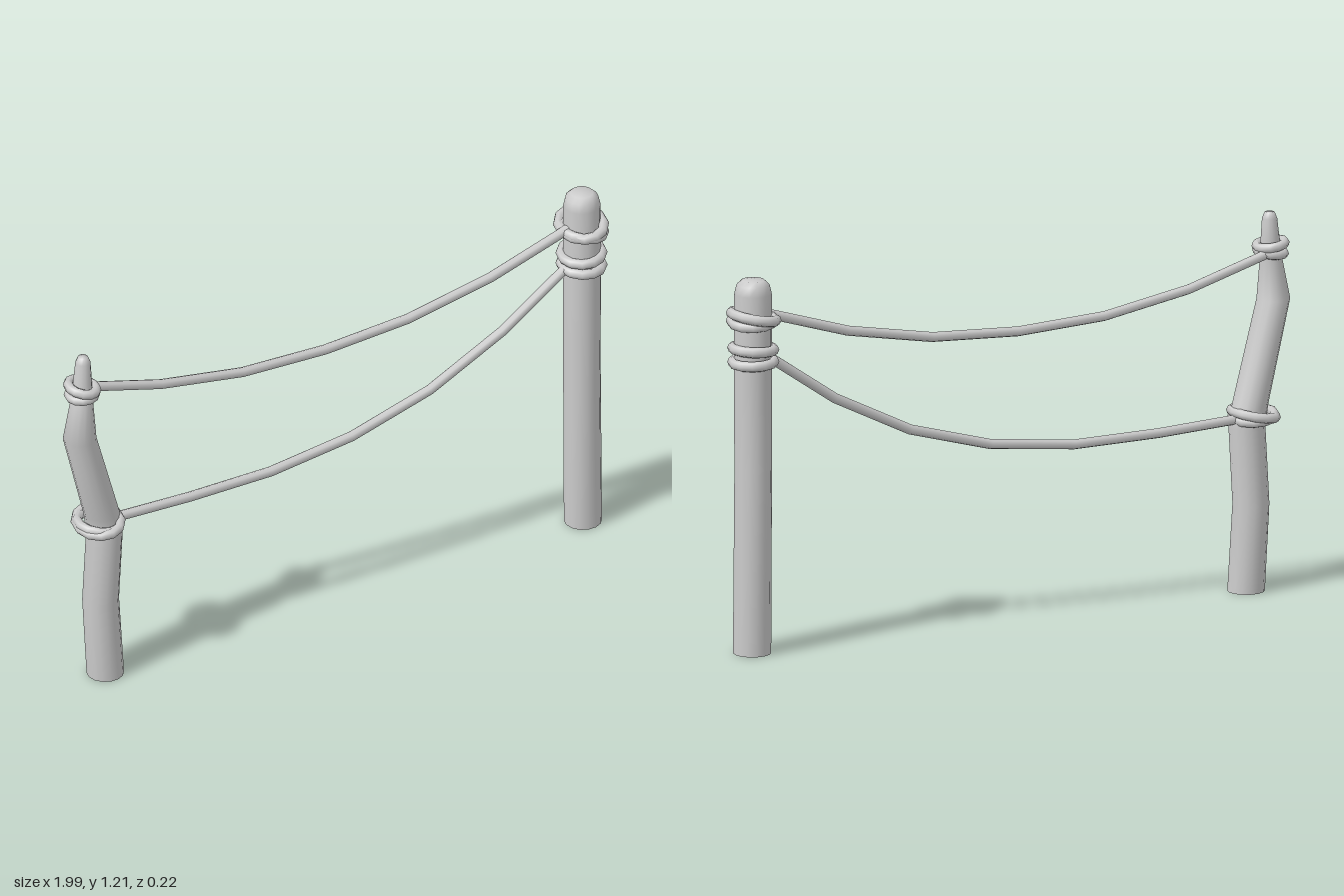
import * as THREE from 'three';

const material = new THREE.MeshStandardMaterial({ color: 0xcccccc });

function addMesh(group, name, geometry) {
  const mesh = new THREE.Mesh(geometry, material);
  mesh.name = name;
  group.add(mesh);
  return mesh;
}

// Crooked post lofted through level rings [x, y, z, radius], closed on top and open underneath
function postGeometry(rings, sides = 14) {
  const pos = [], index = [];
  for (const [x, y, z, r] of rings) {
    for (let i = 0; i < sides; i++) {
      const a = (i / sides) * Math.PI * 2;
      pos.push(x + r * Math.cos(a), y, z + r * Math.sin(a));
    }
  }
  for (let k = 0; k < rings.length - 1; k++) {
    for (let i = 0; i < sides; i++) {
      const a = k * sides + i, b = k * sides + (i + 1) % sides;
      index.push(a, a + sides, b, b, a + sides, b + sides);
    }
  }
  const [x, y, z] = rings[rings.length - 1];
  const last = (rings.length - 1) * sides;
  pos.push(x, y, z);
  for (let i = 0; i < sides; i++) index.push(last + i, last + sides, last + (i + 1) % sides);
  const geometry = new THREE.BufferGeometry();
  geometry.setAttribute('position', new THREE.Float32BufferAttribute(pos, 3));
  geometry.setIndex(index);
  geometry.computeVertexNormals();
  return geometry;
}

// Sagging rope of straight pieces
function ropeGeometry(points) {
  const curve = new THREE.CatmullRomCurve3(points.map(([x, y, z]) => new THREE.Vector3(x, y, z)));
  return new THREE.TubeGeometry(curve, points.length - 1, 0.016, 8);
}

// Oval rope loop: centre, half widths to the middle of the rope, tilt about z and x
function loopGeometry([x, y, z], rx, rz, tube, tiltZ, tiltX) {
  const geometry = new THREE.TorusGeometry(1, 0.2, 8, 12);
  const p = geometry.attributes.position;
  for (let i = 0; i < p.count; i++) {
    const a = Math.atan2(p.getY(i), p.getX(i));
    const out = (Math.hypot(p.getX(i), p.getY(i)) - 1) / 0.2 * tube;
    p.setXYZ(i, (rx + out) * Math.cos(a), p.getZ(i) / 0.2 * tube, -(rz + out) * Math.sin(a));
  }
  // Smooth normals across the seams
  const normal = geometry.attributes.normal;
  for (let i = 0; i < normal.count; i++) {
    normal.setXYZ(i, normal.getX(i), normal.getZ(i), -normal.getY(i));
  }
  geometry.rotateX(tiltX).rotateZ(tiltZ).translate(x, y, z);
  return geometry;
}

export function createModel() {
  const model = new THREE.Group();
  model.name = 'ropeFence';

  // Posts
  addMesh(model, 'straightPost', postGeometry([
    [0.905, 0, 0.01, 0.06], [0.9, 0.6, 0.012, 0.059], [0.907, 0.93, 0, 0.06],
    [0.908, 1.165, -0.002, 0.059], [0.908, 1.195, -0.002, 0.052],
    [0.908, 1.21, -0.002, 0.036],
  ]));
  addMesh(model, 'crookedPost', postGeometry([
    [-0.835, 0, 0.01, 0.059], [-0.852, 0.28, 0.01, 0.058], [-0.838, 0.53, 0.01, 0.058],
    [-0.85, 0.6, 0.012, 0.057], [-0.948, 0.925, 0.043, 0.053], [-0.934, 1.06, 0.032, 0.035],
    [-0.929, 1.12, 0.028, 0.03], [-0.926, 1.19, 0.026, 0.024], [-0.926, 1.21, 0.026, 0.016],
  ]));

  // Hanging ropes
  addMesh(model, 'upperRope', ropeGeometry([
    [-0.92, 1.085, 0.005], [-0.62, 0.997, 0.003], [-0.34, 0.948, 0.003], [-0.05, 0.933, 0.003],
    [0.26, 0.948, 0.003], [0.56, 1.002, 0.003], [0.86, 1.095, 0.003],
  ]));
  addMesh(model, 'lowerRope', ropeGeometry([
    [-0.82, 0.56, 0.003], [-0.51, 0.546, 0.003], [-0.2, 0.546, 0.003], [0.12, 0.59, 0.003],
    [0.385, 0.673, 0.003], [0.635, 0.803, 0.003], [0.86, 0.96, 0.003],
  ]));

  // Rope loops tied round the posts
  const loops = [
    [[0.907, 1.092, -0.005], 0.066, 0.088, 0.017, 0.16, 0.02],
    [[0.907, 1.078, 0.003], 0.064, 0.078, 0.017, -0.12, -0.05],
    [[0.907, 0.987, -0.002], 0.064, 0.068, 0.017, 0.05, 0.02],
    [[0.907, 0.945, -0.002], 0.064, 0.068, 0.017, -0.04, 0],
    [[-0.86, 0.57, 0.008], 0.066, 0.086, 0.016, 0.16, 0.02],
    [[-0.86, 0.564, 0.008], 0.064, 0.076, 0.016, -0.12, -0.05],
    [[-0.933, 1.104, 0.033], 0.043, 0.05, 0.016, -0.16, 0.03],
    [[-0.933, 1.08, 0.033], 0.041, 0.046, 0.016, 0.1, -0.05],
  ];
  loops.forEach((loop, i) => addMesh(model, `ropeLoop${i + 1}`, loopGeometry(...loop)));

  return model;
}
